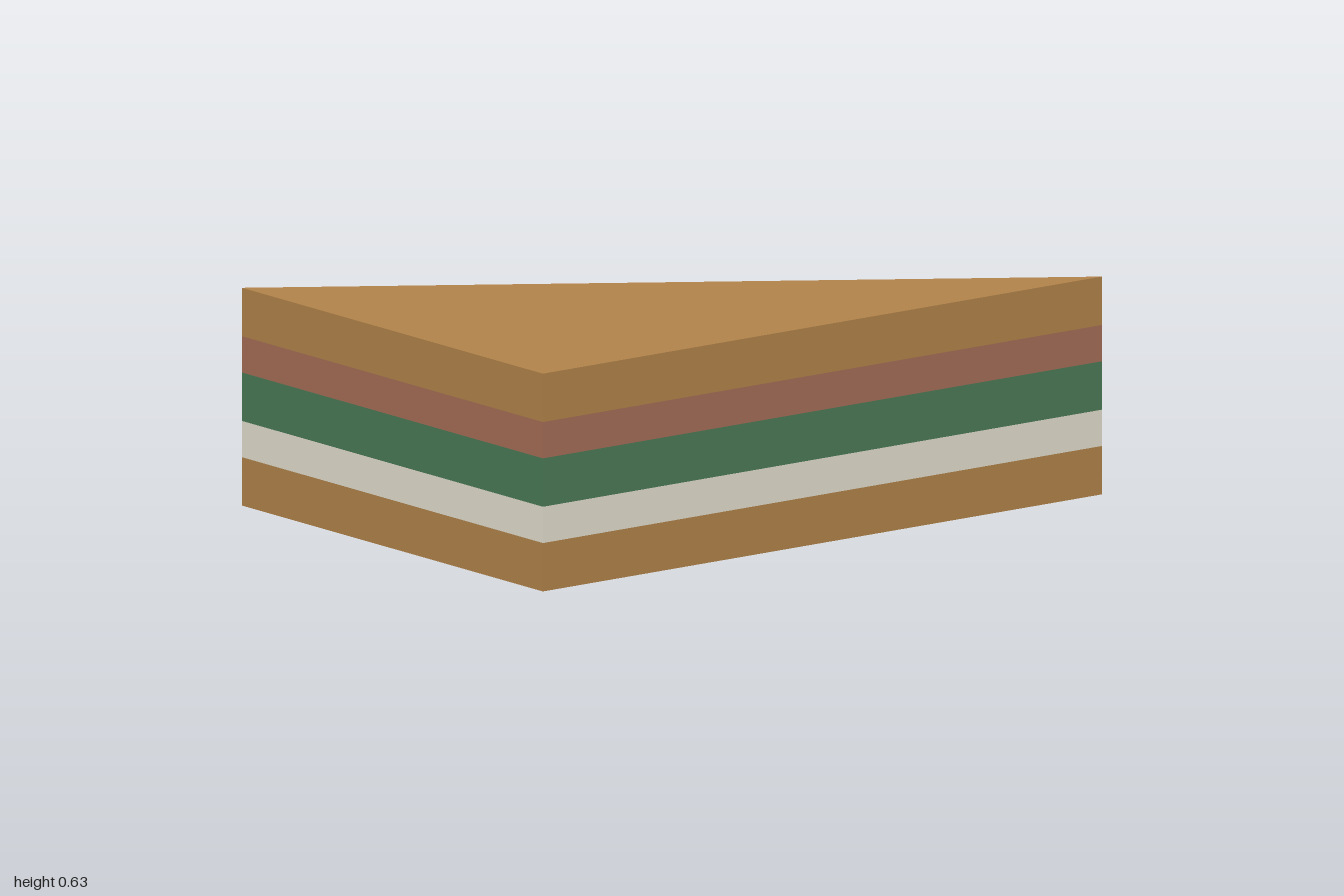
import * as THREE from 'three';

const material = (name, color) => {
  const m = new THREE.MeshStandardMaterial({ color });
  m.name = name;
  return m;
};

export function createModel() {
  const group = new THREE.Group();
  group.name = 'sandwich';

  const bread = material('bread', 0xb4854b);
  const cheese = material('cheese', 0xebe6d5);
  const lettuce = material('lettuce', 0x4c7c58);
  const ham = material('ham', 0xa97058);

  // Right-angled slice outline, extruded upwards (shape y becomes -z)
  const outline = new THREE.Shape([
    new THREE.Vector2(-1, -0.69),
    new THREE.Vector2(1, -0.69),
    new THREE.Vector2(-1, 0.69),
  ]);

  // Layers from bottom to top: name, material, thickness
  const layers = [
    ['bottomBread', bread, 0.14],
    ['cheeseLayer', cheese, 0.105],
    ['lettuceLayer', lettuce, 0.14],
    ['hamLayer', ham, 0.105],
    ['topBread', bread, 0.14],
  ];

  let y = 0;
  for (const [name, mat, depth] of layers) {
    const geometry = new THREE.ExtrudeGeometry(outline, { depth, bevelEnabled: false });
    geometry.rotateX(-Math.PI / 2);
    const mesh = new THREE.Mesh(geometry, mat);
    mesh.name = name;
    mesh.position.y = y;
    group.add(mesh);
    y += depth;
  }
  return group;
}
